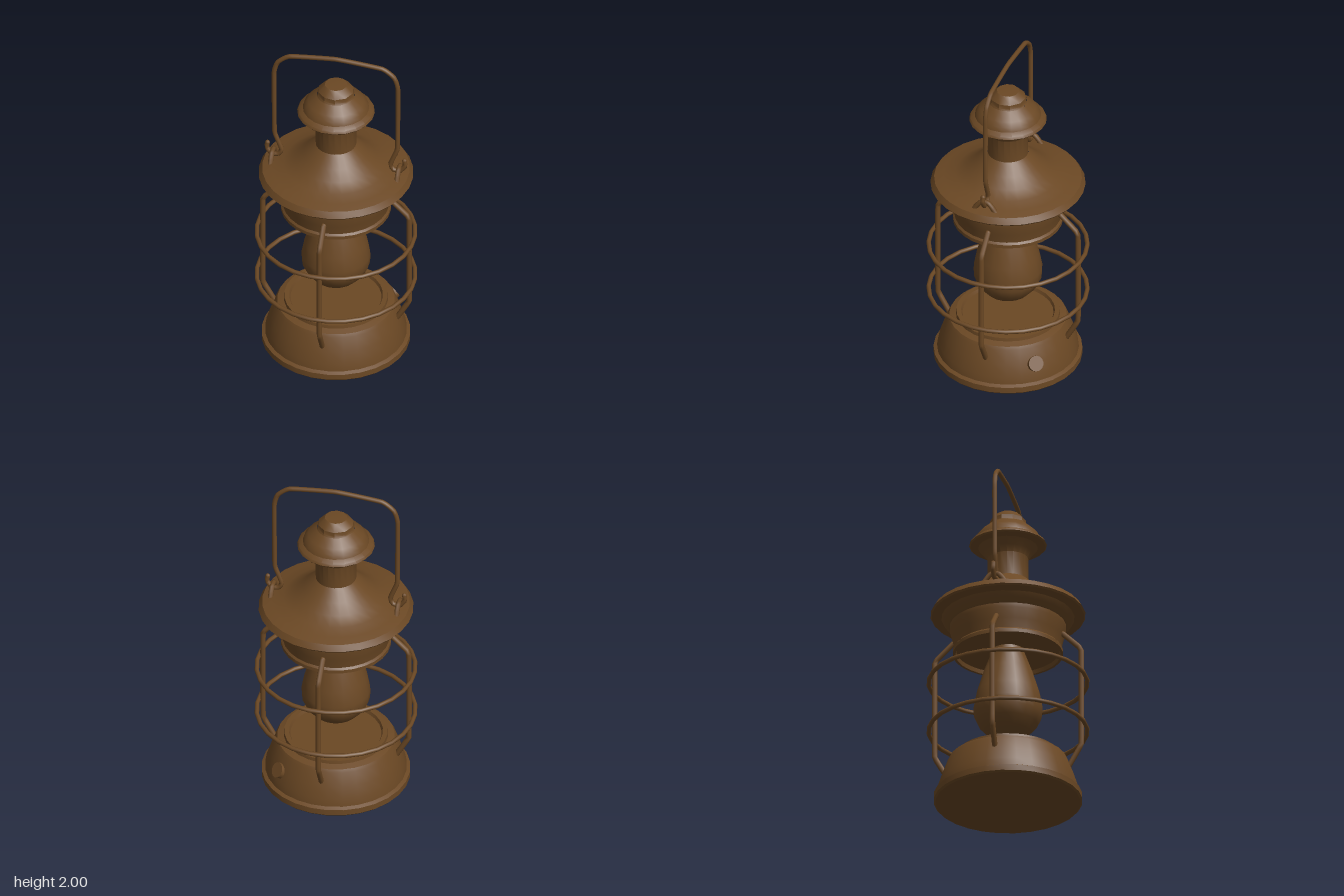
import * as THREE from 'three';
import { toCreasedNormals } from 'three/addons/utils/BufferGeometryUtils.js';

const metal = new THREE.MeshStandardMaterial({ color: 0x6b4824 });

function addMesh(parent, name, geometry) {
  const mesh = new THREE.Mesh(geometry, metal);
  mesh.name = name;
  parent.add(mesh);
  return mesh;
}

// Turned part from [radius, height] pairs, listed from the bottom up
function turned(parent, name, profile, sides = 28) {
  const points = profile.map(([r, y]) => new THREE.Vector2(r, y));
  return addMesh(parent, name, toCreasedNormals(new THREE.LatheGeometry(points, sides), 0.6));
}

// Bent wire through [x, y, z] points, with rounded ends
function wire(parent, name, path, radius, segments) {
  const points = path.map((p) => new THREE.Vector3(...p));
  const curve = new THREE.CatmullRomCurve3(points, false, 'catmullrom', 0.2);
  const group = new THREE.Group();
  group.name = name;
  addMesh(group, name + 'Rod', new THREE.TubeGeometry(curve, segments, radius, 8));
  for (const end of [points[0], points[points.length - 1]]) {
    addMesh(group, name + 'End', new THREE.SphereGeometry(radius, 8, 6)).position.copy(end);
  }
  parent.add(group);
  return group;
}

export function createModel() {
  const lantern = new THREE.Group();
  lantern.name = 'lantern';

  // Fuel tank with a foot and a raised rim
  turned(lantern, 'base', [
    [0, 0], [0.415, 0], [0.425, 0.01], [0.425, 0.045], [0.405, 0.055], [0.398, 0.1],
    [0.375, 0.17], [0.345, 0.25], [0.335, 0.268], [0.298, 0.28], [0.295, 0.3],
    [0.268, 0.3], [0.26, 0.282], [0, 0.282],
  ]);

  // Wick knob, tilted with the tank wall
  const knob = addMesh(lantern, 'knob',
    toCreasedNormals(new THREE.CylinderGeometry(0.045, 0.045, 0.06, 14), 0.6));
  knob.position.set(0.368, 0.155, 0);
  knob.rotation.z = -1.05;

  // Glass globe
  turned(lantern, 'globe', [
    [0, 0.375], [0.035, 0.385], [0.07, 0.41], [0.125, 0.44], [0.17, 0.49], [0.195, 0.545],
    [0.197, 0.6], [0.18, 0.69], [0.14, 0.82], [0.095, 0.94], [0.09, 0.97],
  ], 20);

  // Collar, brim and sloping roof up to the chimney neck
  turned(lantern, 'roof', [
    [0, 0.955], [0.295, 0.955], [0.3, 0.932], [0.315, 0.932], [0.315, 0.953], [0.305, 0.965],
    [0.315, 1.02], [0.332, 1.08], [0.333, 1.105], [0.36, 1.13], [0.38, 1.16], [0.435, 1.168],
    [0.443, 1.178], [0.422, 1.213], [0.37, 1.228], [0.3, 1.245], [0.235, 1.28],
    [0.18, 1.33], [0.13, 1.377], [0.116, 1.39],
  ]);

  // Chimney with its flared cap
  turned(lantern, 'chimney', [
    [0.116, 1.38], [0.116, 1.53], [0.14, 1.565], [0.17, 1.6], [0.215, 1.608], [0.222, 1.616],
    [0.215, 1.63], [0.19, 1.645], [0.18, 1.67], [0.16, 1.695], [0.11, 1.738],
  ], 20);
  turned(lantern, 'chimneyTop', [
    [0.112, 1.735], [0.105, 1.745], [0.103, 1.77], [0.065, 1.808], [0, 1.812],
  ], 10);

  // Guard: four posts on the diagonals
  for (let i = 0; i < 4; i++) {
    const post = wire(lantern, 'guardPost', [
      [0.35, 0.185, 0], [0.42, 0.31, 0], [0.428, 0.35, 0],
      [0.428, 0.9, 0], [0.418, 0.935, 0], [0.32, 1.03, 0],
    ], 0.016, 28);
    post.rotation.y = Math.PI / 4 + i * Math.PI / 2;
  }

  // Guard: two rings around the posts
  for (const y of [0.45, 0.755]) {
    const ring = addMesh(lantern, 'guardRing', new THREE.TorusGeometry(0.453, 0.013, 8, 28));
    ring.rotation.x = Math.PI / 2;
    ring.position.y = y;
  }

  // Carrying handle on one diagonal, hooked through an eyelet on each side
  const handle = new THREE.Group();
  handle.name = 'handle';
  handle.rotation.y = -Math.PI / 4;
  lantern.add(handle);
  const half = [
    [0.4, 1.325], [0.405, 1.29], [0.375, 1.25], [0.335, 1.255], [0.318, 1.29],
    [0.355, 1.39], [0.36, 1.43], [0.362, 1.83], [0.34, 1.91], [0.27, 1.962],
  ];
  const side = (s) => half.map(([x, y]) => [s * x, y, 0]);
  wire(handle, 'bail', [...side(1), [0, 1.986, 0], ...side(-1).reverse()], 0.014, 110);
  for (const s of [-1, 1]) {
    wire(handle, 'eyelet', [
      [s * 0.37, 1.215, -0.065], [s * 0.37, 1.245, -0.045], [s * 0.37, 1.272, -0.02],
      [s * 0.37, 1.272, 0.02], [s * 0.37, 1.245, 0.045], [s * 0.37, 1.215, 0.065],
    ], 0.015, 14);
  }

  return lantern;
}
